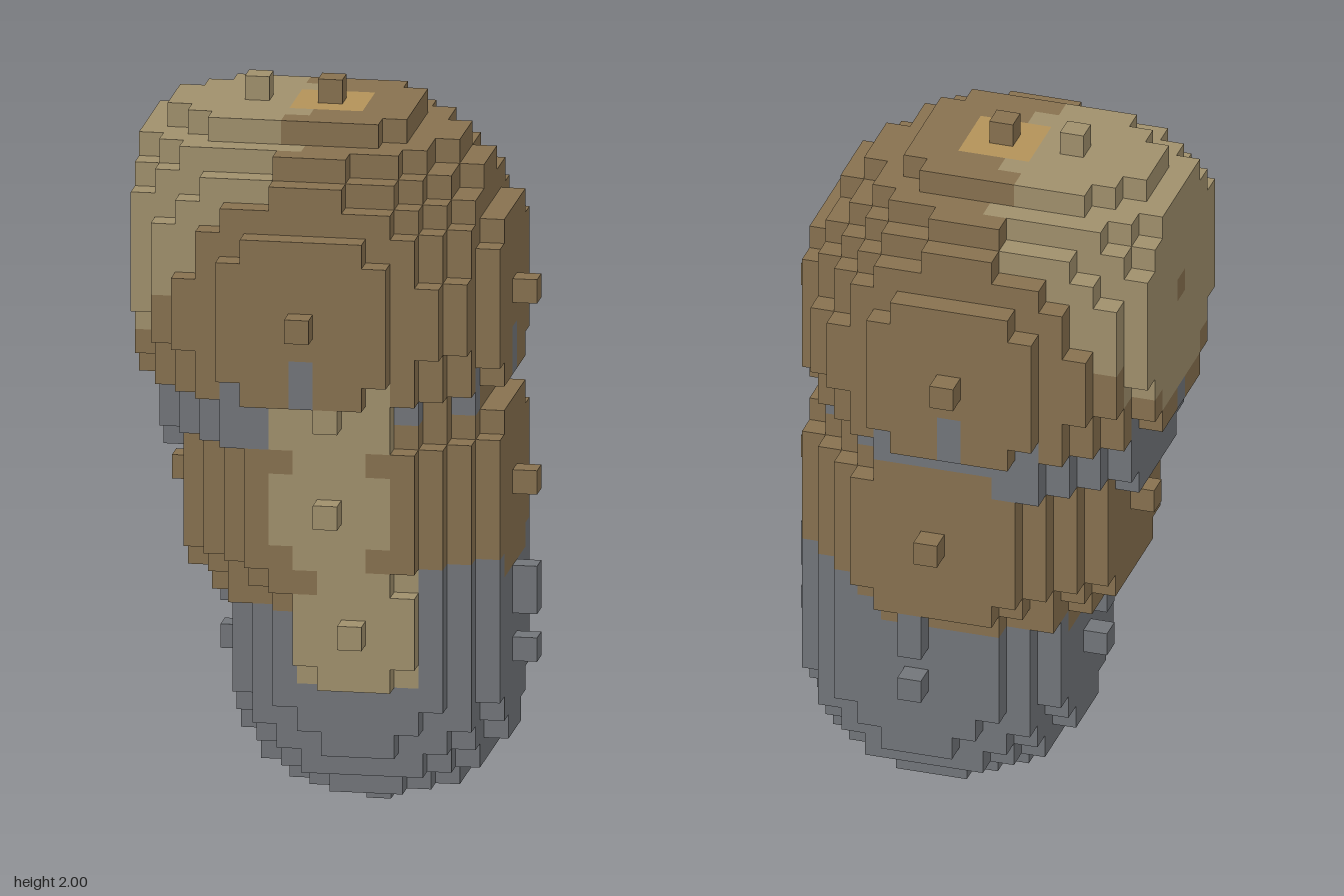
import * as THREE from 'three';

const U = 1 / 15;      // edge of one block
const MIN_X = -8;      // the block grid ends here, so the right side is flat

const BROWN = 0x87714f, KHAKI = 0xa0906c, GREY = 0x72757a, GOLD = 0xb39259;

// Block balls in painting order; later parts replace blocks of earlier ones.
// Each ball: [x, y, z, radius] in blocks.
const PARTS = [
  { name: 'head', color: BROWN, balls: [[-1, 21, 0, 8]] },
  { name: 'neck', color: GREY, balls: [[-1, 18, 0, 7], [-1, 19, 0, 7]] },
  { name: 'base', color: GREY, balls: [[1, 6, 0, 6], [1, 8, 0, 6], [1, 9, 0, 6]] },
  { name: 'body', color: BROWN, balls: [[0, 13, 0, 7]] },
  { name: 'belly', color: KHAKI, balls: [[1, 8, 4, 3], [0, 13, 4, 3], [0, 17, 4, 3]] },
  { name: 'sideCap', color: KHAKI, balls: [[-4, 23, 0, 6]] },
  { name: 'sideDot', color: BROWN, balls: [[-8, 23, 0, 0]] },
  { name: 'crownPatch', color: GOLD, balls: [], box: [-2, 0, 28, 28, -1, 1] },
];

const key = (x, y, z) => `${x},${y},${z}`;

// Fill the grid with the part that owns each block
function paintBlocks() {
  const grid = new Map();
  const put = (x, y, z, part) => {
    if (x >= MIN_X) grid.set(key(x, y, z), { x, y, z, part });
  };
  for (const part of PARTS) {
    for (const [cx, cy, cz, r] of part.balls) {
      for (let x = -r; x <= r; x++)
        for (let y = -r; y <= r; y++)
          for (let z = -r; z <= r; z++)
            if (x * x + y * y + z * z <= r * r) put(cx + x, cy + y, cz + z, part);
    }
    if (part.box) {
      const [x0, x1, y0, y1, z0, z1] = part.box;
      for (let x = x0; x <= x1; x++)
        for (let y = y0; y <= y1; y++)
          for (let z = z0; z <= z1; z++) put(x, y, z, part);
    }
  }
  return grid;
}

// Outer block faces of one part
function partGeometry(part, grid) {
  const cube = new THREE.BoxGeometry(U, U, U);
  const pos = cube.attributes.position, nor = cube.attributes.normal;
  const positions = [], normals = [], index = [];
  for (const b of grid.values()) {
    if (b.part !== part) continue;
    for (let side = 0; side < 6; side++) {
      const v = side * 4;
      const n = [nor.getX(v), nor.getY(v), nor.getZ(v)];
      if (grid.has(key(b.x + n[0], b.y + n[1], b.z + n[2]))) continue;
      const first = positions.length / 3;
      for (let i = v; i < v + 4; i++) {
        positions.push(
          pos.getX(i) + (b.x + 0.5) * U,
          pos.getY(i) + (b.y + 0.5) * U,
          pos.getZ(i) + b.z * U);
        normals.push(...n);
      }
      for (const k of [0, 2, 1, 2, 3, 1]) index.push(first + k);
    }
  }
  const geometry = new THREE.BufferGeometry();
  geometry.setAttribute('position', new THREE.Float32BufferAttribute(positions, 3));
  geometry.setAttribute('normal', new THREE.Float32BufferAttribute(normals, 3));
  geometry.setIndex(index);
  return geometry;
}

export function createModel() {
  const model = new THREE.Group();
  model.name = 'blockFigure';
  const grid = paintBlocks();
  for (const part of PARTS) {
    const material = new THREE.MeshStandardMaterial({ color: part.color });
    const mesh = new THREE.Mesh(partGeometry(part, grid), material);
    mesh.name = part.name;
    model.add(mesh);
  }
  return model;
}
